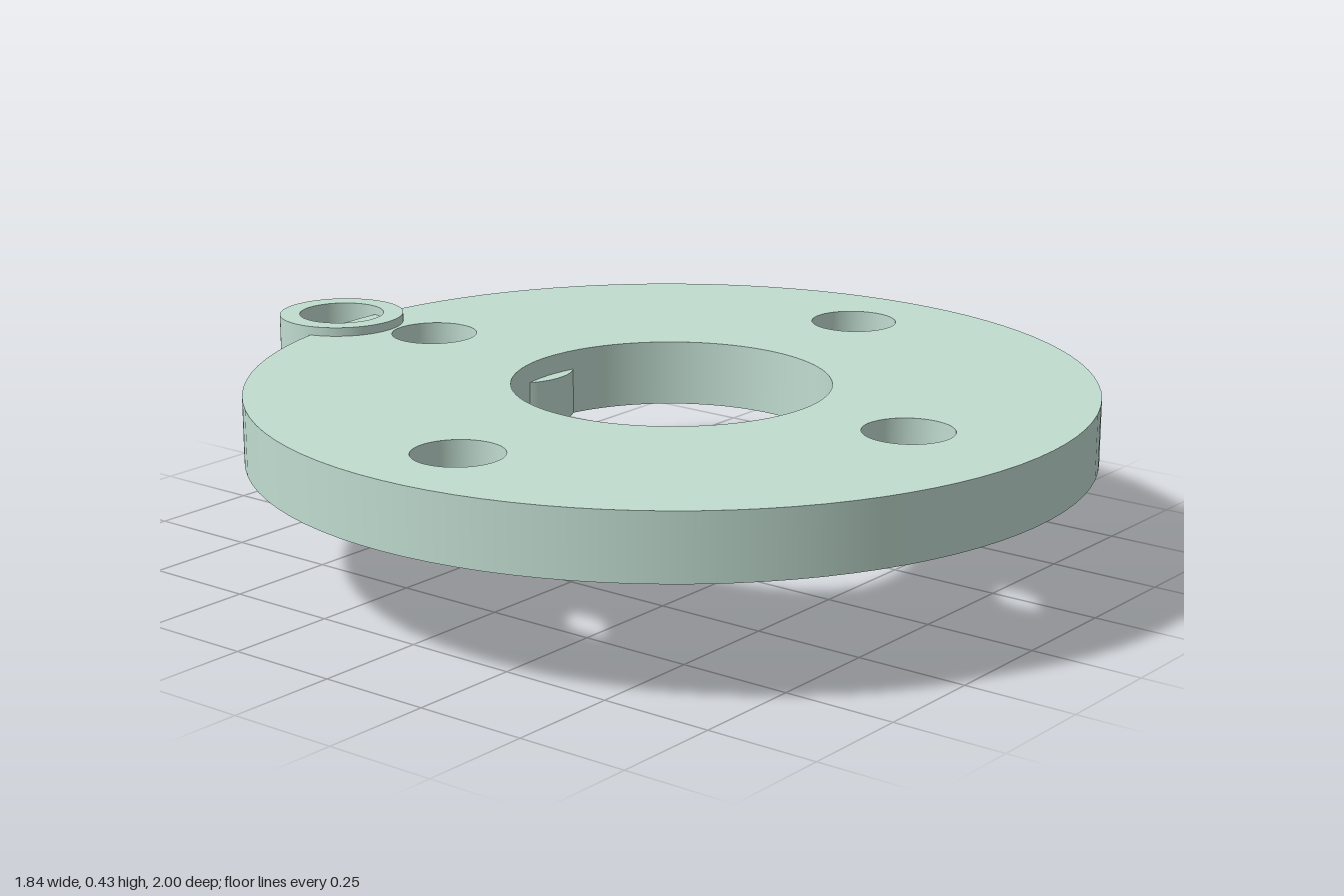
import * as THREE from 'three';

const material = new THREE.MeshStandardMaterial({ color: 0xc0dcd0 });
const SEGMENTS = 48;

// Upright plate cut from a circle with round holes [x, z, radius], centred at (x, z)
function roundPlate(name, x, z, radius, y0, y1, holes = []) {
  const shape = new THREE.Shape().absarc(0, 0, radius, 0, Math.PI * 2);
  for (const [hx, hz, r] of holes) {
    shape.holes.push(new THREE.Path().absarc(hx, -hz, r, 0, Math.PI * 2, true));
  }
  const geometry = new THREE.ExtrudeGeometry(shape, {
    depth: y1 - y0, bevelEnabled: false, curveSegments: SEGMENTS,
  });
  geometry.rotateX(-Math.PI / 2); // extrusion runs upwards
  smoothWalls(geometry, [[0, 0, radius], ...holes]);
  const mesh = new THREE.Mesh(geometry, material);
  mesh.name = name;
  mesh.position.set(x, y0, z);
  return mesh;
}

// Radial normals on the outer wall and on each hole wall
function smoothWalls(geometry, circles) {
  const p = geometry.attributes.position, n = geometry.attributes.normal;
  for (let i = 0; i < p.count; i++) {
    if (Math.abs(n.getY(i)) > 0.5) continue;
    circles.forEach(([cx, cz, r], k) => {
      const dx = p.getX(i) - cx, dz = p.getZ(i) - cz;
      if (Math.abs(Math.hypot(dx, dz) - r) > 1e-4) return;
      const s = (k === 0 ? 1 : -1) / r;
      n.setXYZ(i, dx * s, 0, dz * s);
    });
  }
}

export function createModel() {
  const model = new THREE.Group();
  model.name = 'flangeWithPin';

  // Flange disc with centre bore and four bolt holes
  const discZ = 0.077;
  model.add(roundPlate('flangeDisc', 0, discZ, 0.92, 0.26, 0.405, [
    [0, 0, 0.347],
    [0.69, 0, 0.097], [-0.69, 0, 0.097],
    [0, -0.69, 0.097], [0, 0.613, 0.097],
  ]));

  // Rounded key protruding into the bore
  model.add(roundPlate('boreKey', 0, -0.369, 0.131, 0.261, 0.362));

  // Two offset hollow sleeves at the back rim
  model.add(roundPlate('lowerSleeve', 0, -0.845, 0.155, 0, 0.26, [[0, 0, 0.123]]));
  model.add(roundPlate('upperSleeve', -0.051, -0.857, 0.143, 0.26, 0.425, [[0, 0, 0.097]]));

  return model;
}
